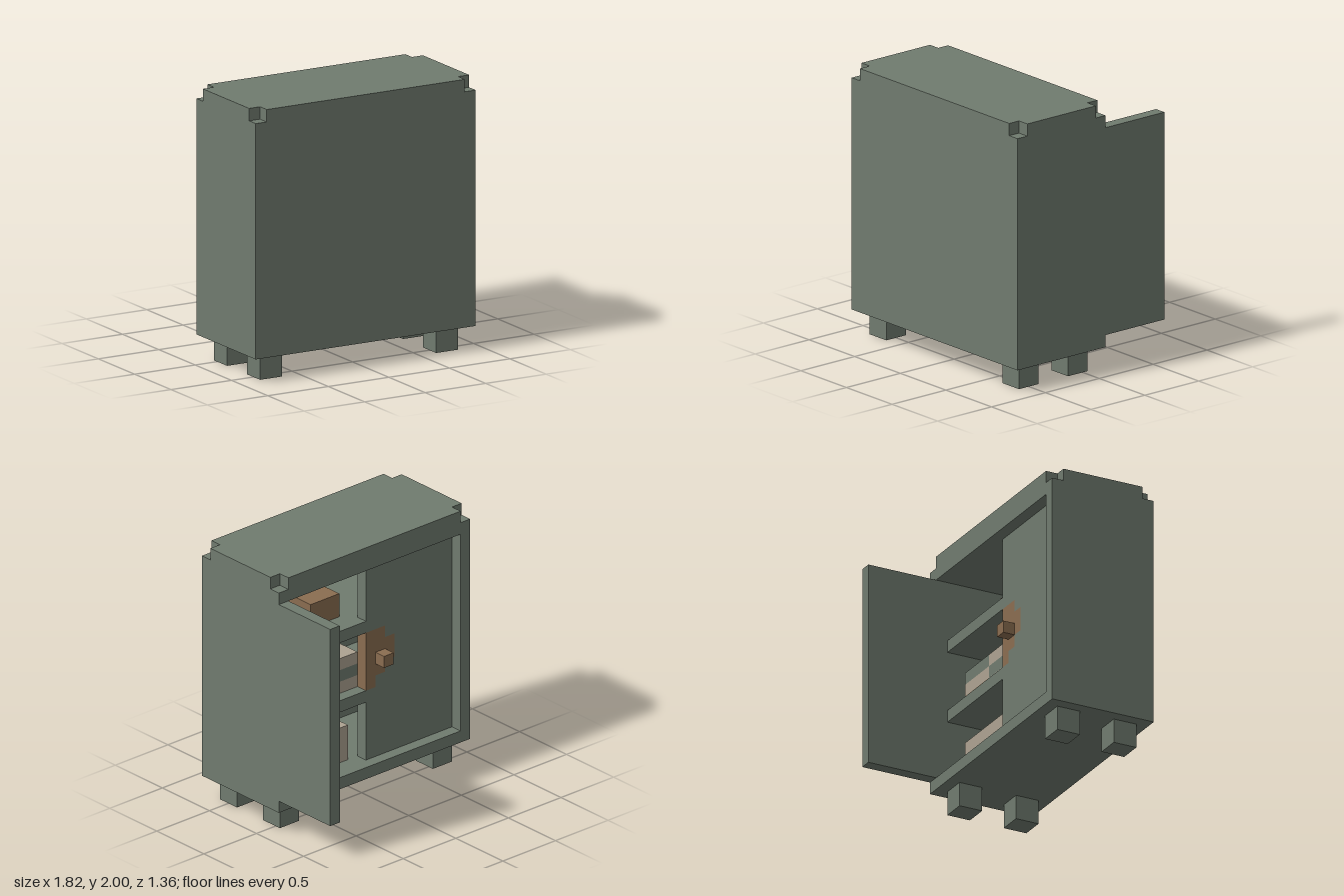
import * as THREE from 'three';

const U = 2 / 22; // one grid cell

export function createModel() {
  const model = new THREE.Group();
  model.name = 'cabinet';

  const mat = (name, color) => {
    const m = new THREE.MeshStandardMaterial({ color });
    m.name = name;
    return m;
  };
  const green = mat('sage green', 0x707b6f);
  const brown = mat('wood brown', 0x8a6d50);
  const beige = mat('paper beige', 0xada291);

  // Box between two corners, given in grid cells
  const box = (name, material, [x0, x1], [y0, y1], [z0, z1], parent = model) => {
    const geo = new THREE.BoxGeometry((x1 - x0) * U, (y1 - y0) * U, (z1 - z0) * U);
    geo.translate(((x0 + x1) / 2) * U, ((y0 + y1) / 2) * U, ((z0 + z1) / 2) * U);
    const mesh = new THREE.Mesh(geo, material);
    mesh.name = name;
    parent.add(mesh);
    return mesh;
  };
  const group = (name) => {
    const g = new THREE.Group();
    g.name = name;
    model.add(g);
    return g;
  };

  // Carcass
  const body = group('carcass');
  box('floor', green, [-10, 10], [2, 3], [-1.5, 7.5], body);
  box('frontWall', green, [-10, 10], [3, 20], [6.5, 7.5], body);
  box('leftWall', green, [9, 10], [3, 20], [-1.5, 6.5], body);
  box('rightWall', green, [-10, -9], [3, 20], [-1.5, 6.5], body);
  box('ceiling', green, [-10, 10], [20, 21], [-1.5, 7.5], body);

  // Top cap with its four corners notched out
  box('topCap', green, [-10, 10], [21, 22], [-0.5, 6.5], body);
  box('topCapFrontEdge', green, [-9, 9], [21, 22], [6.5, 7.5], body);
  box('topCapRearEdge', green, [-9, 9], [21, 22], [-1.5, -0.5], body);

  // Feet
  for (const x of [-9, 7]) {
    for (const z of [-0.5, 4.5]) box('foot', green, [x, x + 2], [0, 2], [z, z + 2]);
  }

  // Swung-open door
  box('openDoor', green, [9, 10], [3, 20], [-7.5, -1.5]);

  // Closed door: columns next to the edge carry the stepped wooden inlay
  const door = group('closedDoor');
  const doorZ = [-0.5, 0.5];
  box('doorPanel', green, [-9, -3], [3, 20], doorZ, door);
  for (const [x, low, high] of [[-1, 9, 14], [-2, 10, 14], [-3, 11, 13]]) {
    box('doorLower', green, [x, x + 1], [3, low], doorZ, door);
    box('doorInlay', brown, [x, x + 1], [low, high], doorZ, door);
    box('doorUpper', green, [x, x + 1], [high, 20], doorZ, door);
  }
  box('doorKnob', brown, [-2, -1], [11, 12], [-1.5, -0.5], door);

  // Shelves, flush with the closed door
  for (const y of [8, 14]) {
    box('shelf', green, [0, 9], [y, y + 1], [-0.5, 6.5]);
    box('shelfBehindDoor', green, [-9, 0], [y, y + 1], [0.5, 6.5]);
  }

  // Stored goods
  const depth = [0.5, 5.5];
  const goods = group('storedGoods');
  box('largeBox', beige, [1, 8], [3, 6], depth, goods);
  [brown, beige, green].forEach((m, i) => box('leftStack', m, [4, 8], [9 + i, 10 + i], depth, goods));
  [beige, green, beige].forEach((m, i) => box('rightStack', m, [0, 4], [9 + i, 10 + i], depth, goods));
  box('smallBox', brown, [1, 4], [15, 17], [1.5, 4.5], goods);

  return model;
}
